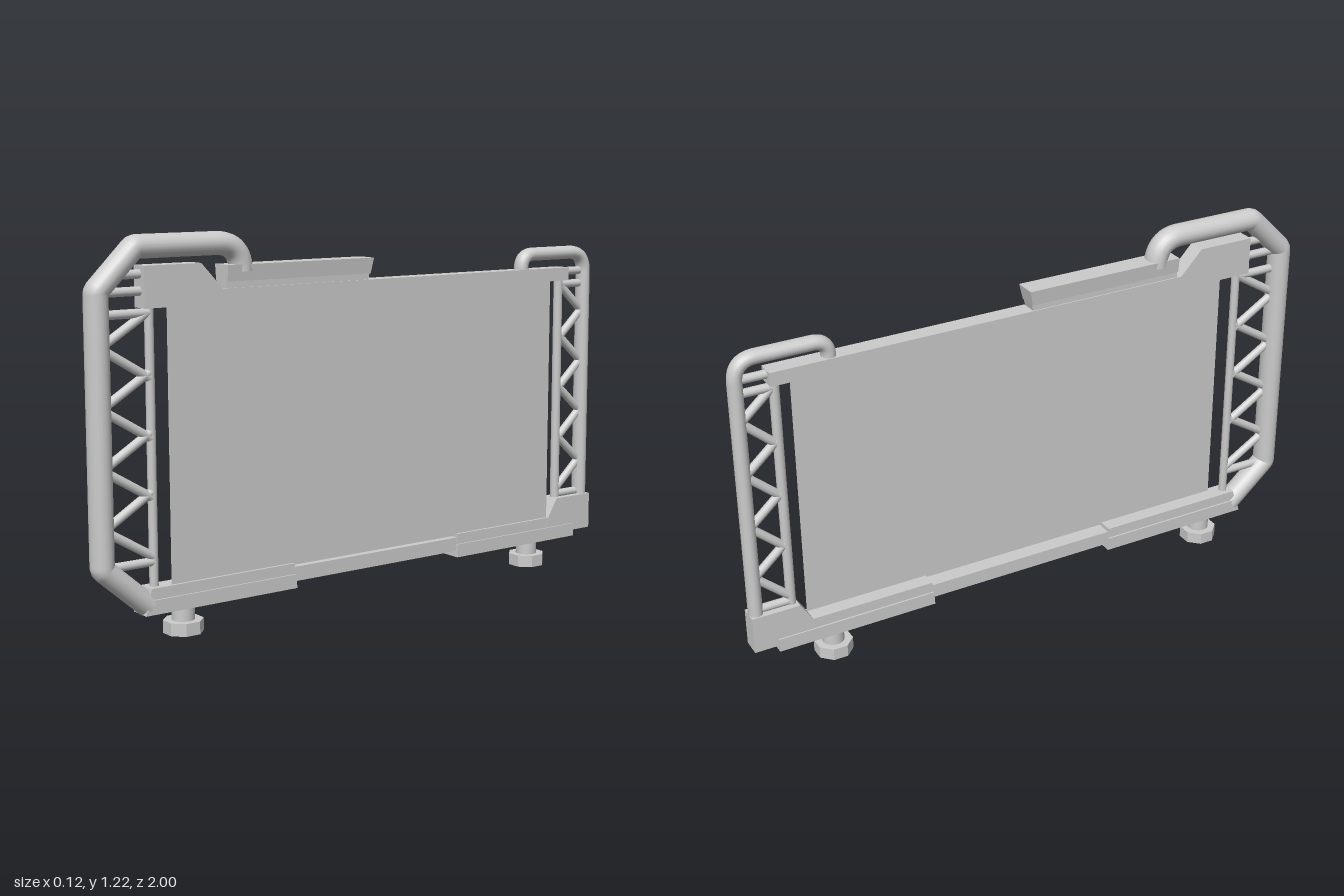
import * as THREE from 'three';

const material = new THREE.MeshStandardMaterial({ color: 0xcccccc, side: THREE.DoubleSide });
const V = (z, y) => new THREE.Vector3(0, y, z);

// Side outline in [z, y], extruded across x and centred
function plate(name, outline, width) {
  const shape = new THREE.Shape(outline.map(([z, y]) => new THREE.Vector2(z, y)));
  const geo = new THREE.ExtrudeGeometry(shape, { depth: width, bevelEnabled: false });
  geo.translate(0, 0, -width / 2).rotateY(-Math.PI / 2);
  const mesh = new THREE.Mesh(geo, material);
  mesh.name = name;
  return mesh;
}

// Bent pipe through [z, y, cornerRadius] points
function pipe(name, points, radius, widen) {
  const path = new THREE.CurvePath();
  let from = V(...points[0]);
  points.slice(1).forEach(([z, y, bend], i) => {
    const corner = V(z, y);
    const next = points[i + 2];
    if (!next) {
      path.add(new THREE.LineCurve3(from, corner));
      return;
    }
    const before = corner.clone().add(from.clone().sub(corner).setLength(bend));
    const after = corner.clone().add(V(next[0], next[1]).sub(corner).setLength(bend));
    path.add(new THREE.LineCurve3(from, before));
    path.add(new THREE.QuadraticBezierCurve3(before, corner, after));
    from = after;
  });
  const mesh = new THREE.Mesh(new THREE.TubeGeometry(path, 240, radius, 20), material);
  mesh.name = name;
  mesh.scale.x = widen;
  return mesh;
}

// Straight round bar between two [z, y] points
function rod(name, a, b, radius) {
  const start = V(...a), end = V(...b);
  const dir = end.clone().sub(start);
  const mesh = new THREE.Mesh(new THREE.CylinderGeometry(radius, radius, dir.length(), 12), material);
  mesh.name = name;
  mesh.position.copy(start).add(end).multiplyScalar(0.5);
  mesh.quaternion.setFromUnitVectors(new THREE.Vector3(0, 1, 0), dir.normalize());
  return mesh;
}

// Post plus zigzag lattice between a post and an outer pipe
function truss(name, postZ, pipeZ, postRadius, extraRungs) {
  const group = new THREE.Group();
  group.name = name;
  group.add(rod('post', [postZ, 0.12], [postZ, 1.02], postRadius));
  for (const y of [0.235, 0.985, ...extraRungs]) group.add(rod('rung', [postZ, y], [pipeZ, y], 0.014));
  for (let i = 0; i < 4; i++) {
    const y = 0.35 + i * 0.18;
    group.add(rod('brace', [pipeZ, y], [postZ, y - 0.1], 0.014));
    group.add(rod('brace', [pipeZ, y], [postZ, y + 0.1], 0.014));
  }
  return group;
}

// Block with a flared upper half over a narrower neck
function topBlock() {
  const group = new THREE.Group();
  group.name = 'topBlock';
  const cap = plate('cap', [[0.535, 1.065], [0.535, 1.115], [-0.016, 1.115], [-0.006, 1.065]], 0.074);
  const pos = cap.geometry.attributes.position;
  for (let i = 0; i < pos.count; i++) {
    if (pos.getY(i) < 1.09) pos.setX(i, pos.getX(i) * 0.86);
  }
  cap.geometry.computeVertexNormals();
  group.add(cap, plate('neck', [[0.535, 1.04], [0.535, 1.07], [-0.007, 1.07], [0, 1.04]], 0.052));
  return group;
}

// Rail clamp: wide base with a ledge below a narrower upper strip
function clamp(name, base, strip) {
  const group = new THREE.Group();
  group.name = name;
  group.add(plate('base', base, 0.074), plate('strip', strip, 0.062));
  return group;
}

function foot(z) {
  const group = new THREE.Group();
  group.name = 'foot';
  const stem = new THREE.Mesh(new THREE.CylinderGeometry(0.036, 0.036, 0.07, 20), material);
  stem.name = 'stem';
  stem.position.y = 0.07;
  const flat = material.clone();
  flat.flatShading = true;
  const knob = new THREE.Mesh(new THREE.CylinderGeometry(0.063, 0.063, 0.04, 8), flat);
  knob.name = 'knob';
  knob.position.y = 0.02;
  knob.rotation.y = Math.PI / 8;
  group.add(stem, knob);
  group.position.z = z;
  return group;
}

export function createModel() {
  const model = new THREE.Group();
  model.name = 'framedPanel';

  // Thin sheet set towards the left side of the frame
  const panel = plate('panel', [[0.74, 0.153], [0.74, 1.02], [-0.8, 1.02], [-0.8, 0.153]], 0.003);
  panel.position.x = 0.02;
  model.add(panel);

  // Rails
  model.add(plate('topRail', [[0.82, 1], [0.82, 1.125], [0.625, 1.125], [0.55, 1.045],
    [-0.88, 1.045], [-0.88, 1]], 0.06));
  model.add(plate('bottomRail', [[0.8, 0.1], [0.8, 0.147], [-0.9, 0.147], [-0.9, 0.1]], 0.054));
  model.add(topBlock());

  // Lower clamps and rear corner
  model.add(clamp('frontClamp', [[0.84, 0.08], [0.826, 0.125], [0.293, 0.125], [0.29, 0.08]],
    [[0.826, 0.12], [0.815, 0.16], [0.295, 0.16], [0.293, 0.12]]));
  model.add(clamp('rearClamp', [[-0.375, 0.08], [-0.378, 0.125], [-0.92, 0.125], [-0.92, 0.08]],
    [[-0.378, 0.12], [-0.38, 0.16], [-0.92, 0.16], [-0.92, 0.12]]));
  model.add(plate('rearCorner', [[-0.78, 0.1], [-0.8, 0.16], [-0.84, 0.225], [-1, 0.225], [-1, 0.1]], 0.064));

  // Front and rear pipes
  model.add(pipe('frontPipe', [[0.815, 0.104], [0.964, 0.235, 0.008], [0.964, 1.055, 0.008],
    [0.837, 1.18, 0.008], [0.467, 1.18, 0.09], [0.467, 1.1]], 0.036, 1.14));
  model.add(pipe('rearPipe', [[-0.977, 0.2], [-0.977, 1.095, 0.07], [-0.682, 1.095, 0.05],
    [-0.682, 1.03]], 0.023, 1.18));

  // Lattices
  model.add(truss('frontTruss', 0.79, 0.955, 0.014, [1.05, 1.1]));
  model.add(truss('rearTruss', -0.858, -0.97, 0.016, [1.03]));

  // Adjustable feet
  for (const z of [0.69, -0.725]) model.add(foot(z));

  return model;
}
